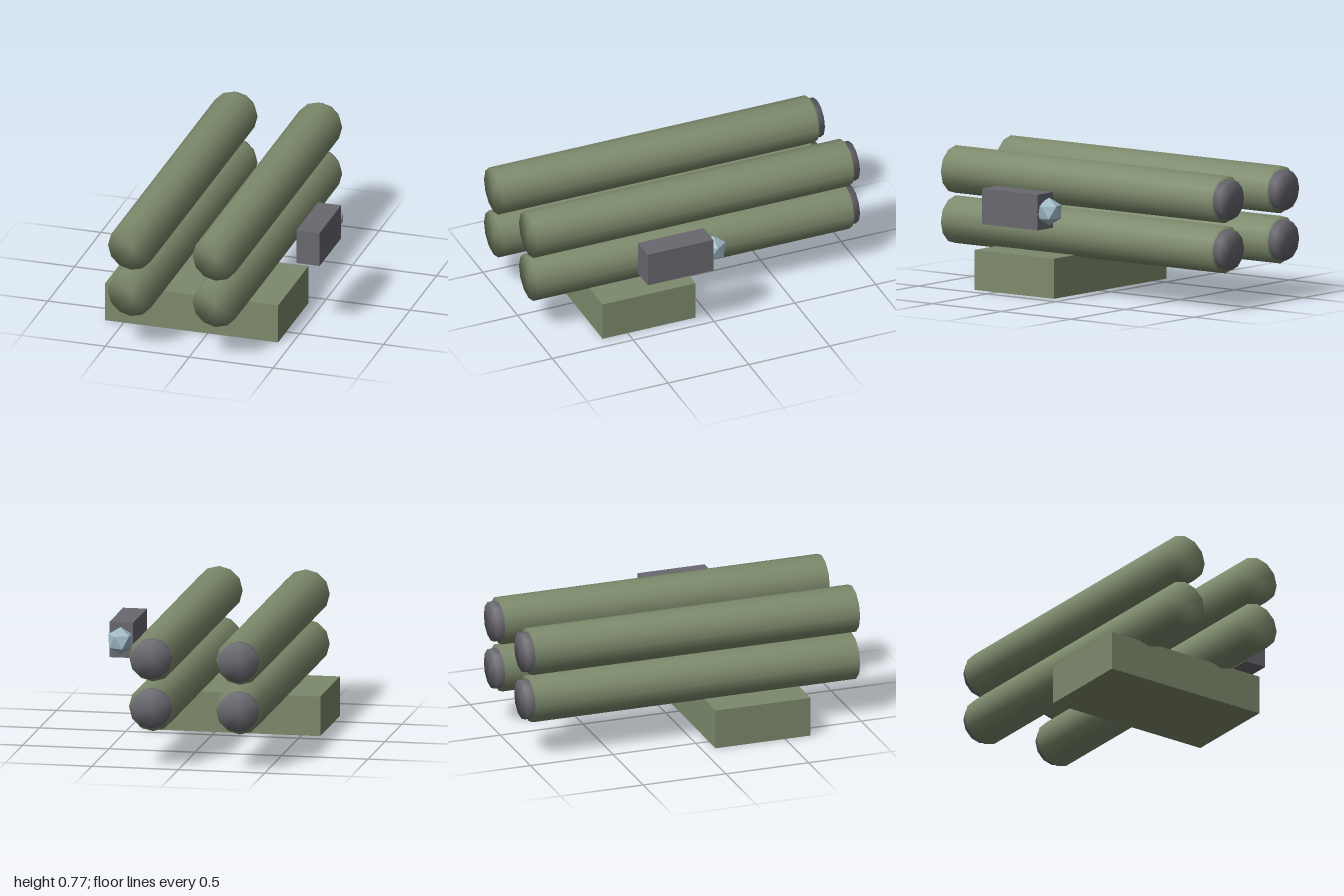
import * as THREE from 'three';
import { mergeVertices } from 'three/addons/utils/BufferGeometryUtils.js';
import { ConvexGeometry } from 'three/addons/geometries/ConvexGeometry.js';

const green = new THREE.MeshStandardMaterial({ color: 0x7d8a6c });
const grey = new THREE.MeshStandardMaterial({ color: 0x68686f });
const glass = new THREE.MeshStandardMaterial({ color: 0x9fb9c6, flatShading: true });

// Twelve-sided rod along z, shaded smoothly over its rims
function rod(radius, zBack, zFront) {
  const g = new THREE.CylinderGeometry(radius, radius, zFront - zBack, 12);
  g.rotateX(Math.PI / 2).translate(0, 0, (zFront + zBack) / 2);
  g.deleteAttribute('normal');
  g.deleteAttribute('uv');
  const merged = mergeVertices(g);
  merged.computeVertexNormals();
  return merged;
}

// Box given by its lowest and highest corners
function block(min, max) {
  const size = max.map((v, i) => v - min[i]);
  const mid = max.map((v, i) => (v + min[i]) / 2);
  return new THREE.BoxGeometry(...size).translate(...mid);
}

// Twenty-sided ball standing on one of its points
function facetedBall(r) {
  const points = [new THREE.Vector3(0, r, 0), new THREE.Vector3(0, -r, 0)];
  const h = r / Math.sqrt(5);
  for (let i = 0; i < 5; i++) {
    const a = (i * Math.PI * 2) / 5;
    const x = 2 * h * Math.cos(a), z = 2 * h * Math.sin(a);
    points.push(new THREE.Vector3(x, h, z), new THREE.Vector3(-x, -h, -z));
  }
  return new ConvexGeometry(points);
}

export function createModel() {
  const model = new THREE.Group();
  model.name = 'launcher';
  const add = (name, geometry, material, parent = model) => {
    const mesh = new THREE.Mesh(geometry, material);
    mesh.name = name;
    parent.add(mesh);
    return mesh;
  };

  // Mounting base
  add('base', block([-0.61, 0, 0.08], [0.42, 0.23, 0.655]), green);

  // Two by two launch tubes, each with an end cap at the back
  const tubeGeometry = rod(0.137, -0.955, 1);
  const capGeometry = rod(0.115, -1, -0.9);
  for (const x of [-0.347, 0.157]) {
    for (const y of [0.346, 0.634]) {
      const tube = new THREE.Group();
      tube.name = 'launchTube';
      tube.position.set(x, y, 0);
      add('tubeBody', tubeGeometry, green, tube);
      add('tubeCap', capGeometry, grey, tube);
      model.add(tube);
    }
  }

  // Sight box with its lens
  add('sightBox', block([0.467, 0.416, 0.05], [0.605, 0.621, 0.455]), grey);
  add('sightLens', facetedBall(0.08), glass).position.set(0.535, 0.519, 0.022);

  return model;
}
